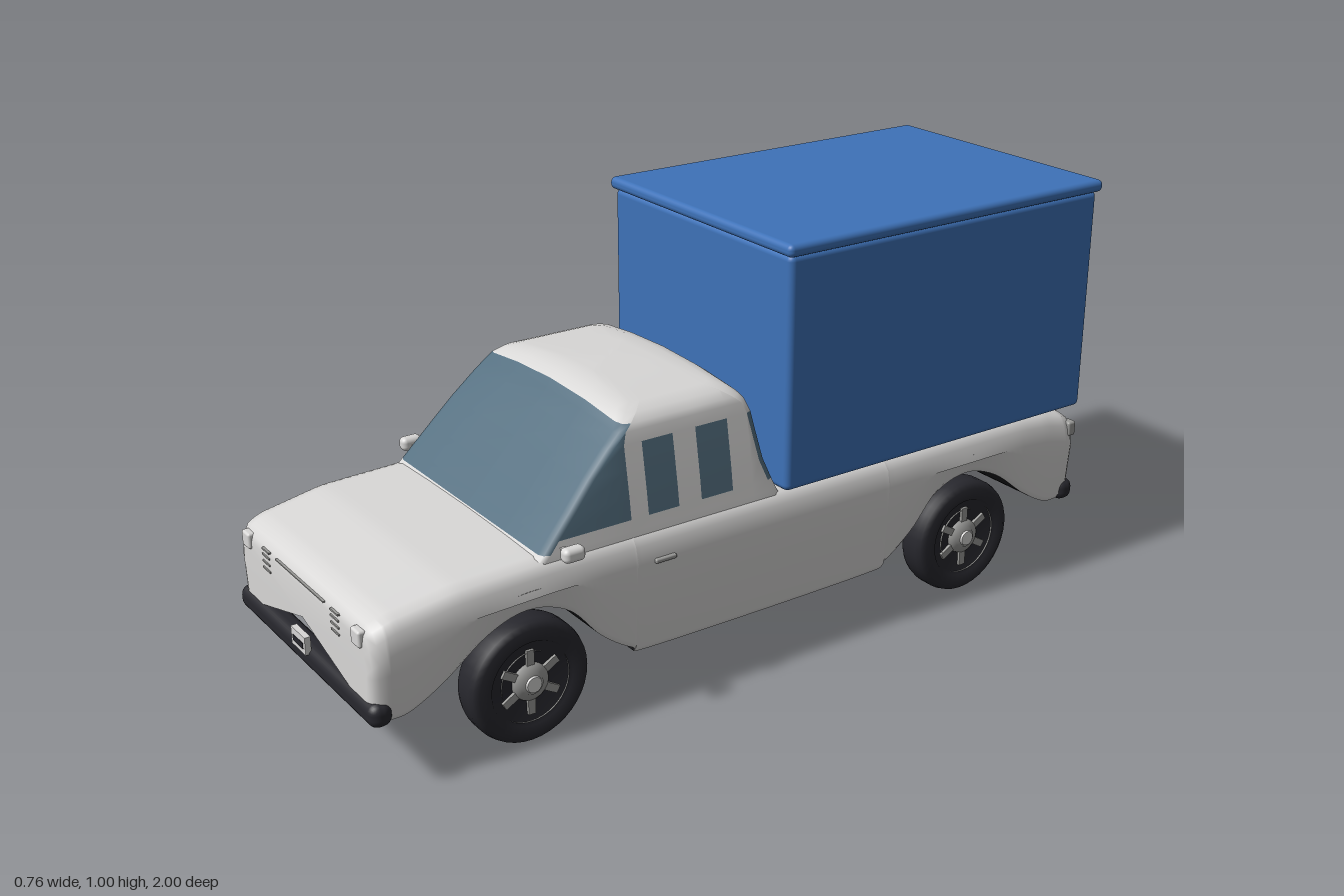
import * as THREE from 'three';
import { RoundedBoxGeometry } from 'three/addons/geometries/RoundedBoxGeometry.js';

const mat = (name, color) => {
  const m = new THREE.MeshStandardMaterial({ color });
  m.name = name;
  return m;
};

// Skin a grid of points; pick(i, j) gives the material index of each cell
function skin(rows, closed, pick = () => 0) {
  const n = rows[0].length, buckets = [[], []];
  for (let i = 0; i < rows.length - 1; i++) {
    for (let j = 0; j < (closed ? n : n - 1); j++) {
      const k = (j + 1) % n, a = i * n + j, b = i * n + k, c = b + n, d = a + n;
      buckets[pick(i, j)].push(a, b, c, a, c, d);
    }
  }
  const g = new THREE.BufferGeometry();
  g.setAttribute('position', new THREE.Float32BufferAttribute(rows.flat(2), 3));
  g.setIndex(buckets.flat());
  g.addGroup(0, buckets[0].length, 0);
  if (buckets[1].length) g.addGroup(buckets[0].length, buckets[1].length, 1);
  g.computeVertexNormals();
  return g;
}

// Linear lookup in a list of [position, value]
function lookup(table, z) {
  for (let i = 1; i < table.length; i++) {
    const [z0, v0] = table[i - 1], [z1, v1] = table[i];
    if (z <= z1) return THREE.MathUtils.lerp(v0, v1, THREE.MathUtils.clamp((z - z0) / (z1 - z0), 0, 1));
  }
  return table[table.length - 1][1];
}

export function createModel() {
  const paint = mat('white paint', 0xd8d7d6);
  const blue = mat('blue box', 0x3e72b8);
  const glass = mat('window glass', 0x546f80);
  const black = mat('black rubber', 0x27272d);
  const under = mat('underside', 0x1b1b1e);
  const chrome = mat('grey metal', 0x9b9b99);
  const truck = new THREE.Group();
  const add = (name, geometry, material, x = 0, y = 0, z = 0, parent = truck) => {
    const m = new THREE.Mesh(geometry, material);
    m.name = name;
    m.position.set(x, y, z);
    parent.add(m);
    return m;
  };
  const box = (w, h, d) => new THREE.BoxGeometry(w, h, d);
  const round = (w, h, d, r) => new RoundedBoxGeometry(w, h, d, 3, r);

  // Lower body: sections along z, the lower edge sweeping over both axles
  const half = [[0.29, 0.13], [0.36, 0.145], [0.44, 0.2], [0.52, 0.285], [0.62, 0.316],
    [0.72, 0.285], [0.82, 0.21], [0.9, 0.165], [0.95, 0.16]];
  const edge = [...half.map(([z, y]) => [-z, y]).reverse(), ...half];
  const lower = new THREE.SplineCurve(edge.map(p => new THREE.Vector2(...p))).getPoints(90);
  const topLine = [[-0.98, 0.382], [-0.94, 0.395], [-0.88, 0.41], [-0.78, 0.42], [0.57, 0.42],
    [0.785, 0.413], [0.93, 0.388], [0.985, 0.368]];
  const widthLine = [[-0.98, 0.338], [-0.8, 0.345], [0.75, 0.345], [0.95, 0.337], [0.985, 0.332]];
  const ends = [[0.968, 0.002], [0.98, 0.01], [0.985, 0.025]];
  const stations = [
    ...ends.map(([z, e]) => [-z, 0.16, e]).reverse(),
    ...lower.map(p => [p.x, p.y, 0]),
    ...ends.map(([z, e]) => [z, 0.16, e]),
  ];
  const section = ([z, b0, e]) => {
    const t = lookup(topLine, z) - e, w = lookup(widthLine, z) - e, b = b0 + e;
    const side = [[w - 0.02, b], [w - 0.01, b + 0.015], [w - 0.003, (t + b) / 2], [w, t - 0.07],
      [w - 0.007, t - 0.03], [w - 0.022, t - 0.007], [w - 0.05, t], [w * 0.5, t + 0.002]];
    return [...side.map(([x, y]) => [x, y, z]), [0, t + 0.003, z],
      ...side.reverse().map(([x, y]) => [-x, y, z])];
  };
  const rows = stations.map(section);
  const capRow = z => rows[0].map(() => [0, 0.27, z]);
  add('body', skin([capRow(-0.985), ...rows, capRow(0.985)], false), paint);
  add('underside', skin(rows.map(r => [r[r.length - 1], r[0]]), false), under);

  // Cab: rings going up, [y, half width, front z, back z, corner radius, roof crown]
  const levels = [
    [0.41, 0.326, 0.595, -0.05, 0.02, 0], [0.425, 0.324, 0.58, -0.043, 0.02, 0],
    [0.45, 0.32, 0.557, -0.032, 0.02, 0], [0.5, 0.313, 0.51, -0.012, 0.02, 0],
    [0.56, 0.303, 0.454, 0, 0.02, 0], [0.62, 0.294, 0.398, 0.01, 0.02, 0.006],
    [0.655, 0.289, 0.367, 0.022, 0.02, 0.014], [0.675, 0.283, 0.355, 0.035, 0.025, 0.02],
    [0.688, 0.266, 0.335, 0.053, 0.03, 0.02], [0.695, 0.235, 0.305, 0.08, 0.03, 0.02],
    [0.697, 0.1, 0.28, 0.12, 0.03, 0.02], [0.697, 0, 0.2, 0.2, 0, 0]];
  const ring = ([y, w, zf, zb, r, crown]) => {
    const posts = [0.355, 0.31, 0.23, 0.17, 0.085, 0.03].map(z => [w, Math.max(zb + r, Math.min(zf - r, z))]);
    const h = [[0, zf], [w / 2, zf], [w - r, zf], [w - 0.3 * r, zf - 0.3 * r], [w, zf - r], ...posts,
      [w, zb + r], [w - 0.3 * r, zb + 0.3 * r], [w - r, zb], [w / 2, zb], [0, zb]];
    const mirror = h.slice(1, -1).reverse().map(([x, z]) => [-x, z]);
    return [...h, ...mirror].map(([x, z]) => [x, y - crown * (x / 0.28) ** 2, z]);
  };
  const cabGlass = (i, j) => {
    const s = j < 15 ? j : 29 - j;
    if (s < 4) return i >= 1 && i <= 6 ? 1 : 0; // windscreen
    if (s === 4) return i >= 2 && i <= 6 ? 1 : 0; // wrapped sides
    return (s === 6 || s === 8 || s >= 11) && i >= 2 && i <= 4 ? 1 : 0; // side and rear windows
  };
  add('cab', skin(levels.map(ring), true, cabGlass), [paint, glass]);

  // Cargo box with overhanging lid
  add('cargoBox', round(0.69, 0.555, 0.935, 0.015), blue, 0, 0.695, -0.5125);
  add('cargoLid', round(0.71, 0.03, 0.955, 0.013), blue, 0, 0.985, -0.5125);

  // Bumpers and number plates
  for (const s of [1, -1]) {
    add('bumper', round(0.675, 0.055, 0.052, 0.022), black, 0, 0.182, s * 0.968);
    const y = s > 0 ? 0.217 : 0.24;
    add('plateFrame', box(0.07, 0.042, 0.014), paint, 0, y, s * 0.992);
    add('plateInset', box(0.05, 0.014, 0.004), black, 0, y - 0.002, s * 0.9985);
  }

  // Grille strips
  add('grilleLine', box(0.24, 0.003, 0.006), chrome, 0, 0.357, 0.984);
  for (const s of [1, -1]) {
    for (const y of [0.357, 0.343, 0.327, 0.311]) {
      add('grilleSlat', box(0.037, 0.004, 0.006), chrome, s * 0.172, y, 0.985);
    }
    // Lamps, mirrors and door handles
    add('headlight', round(0.038, 0.038, 0.02, 0.006), paint, s * 0.274, 0.345, 0.982);
    add('tailLight', round(0.03, 0.038, 0.025, 0.006), chrome, s * 0.322, 0.352, -0.97);
    add('mirror', round(0.031, 0.033, 0.052, 0.012), paint, s * 0.363, 0.437, 0.53);
    add('mirrorStalk', box(0.05, 0.008, 0.012), paint, s * 0.335, 0.432, 0.53);
    add('doorHandle', round(0.012, 0.011, 0.055, 0.004), chrome, s * 0.346, 0.35, 0.285);
  }

  // Wheels: lathe profiles turned so the axle points outward
  const lathe = pts => new THREE.LatheGeometry(pts.map(p => new THREE.Vector2(...p)), 40);
  const tyre = lathe([[0, -0.03], [0.092, -0.03], [0.1, -0.04], [0.128, -0.04], [0.141, -0.032], [0.145, -0.018],
    [0.145, 0.018], [0.141, 0.032], [0.128, 0.04], [0.1, 0.04], [0.092, 0.028], [0, 0.024]]);
  const rim = lathe([[0.07, 0.025], [0.073, 0.034], [0.083, 0.037], [0.093, 0.036], [0.095, 0.026]]);
  const hub = lathe([[0.045, 0.02], [0.042, 0.034], [0.028, 0.036], [0.024, 0.043], [0, 0.044]]);
  for (const s of [1, -1]) {
    for (const z of [0.62, -0.62]) {
      const wheel = new THREE.Group();
      wheel.name = 'wheel';
      wheel.position.set(s * 0.296, 0.145, z);
      wheel.rotation.z = -s * Math.PI / 2;
      truck.add(wheel);
      add('tyre', tyre, black, 0, 0, 0, wheel);
      add('rim', rim, chrome, 0, 0, 0, wheel);
      add('hub', hub, chrome, 0, 0, 0, wheel);
      add('hubCap', new THREE.CylinderGeometry(0.018, 0.02, 0.006, 24), paint, 0, 0.045, 0, wheel);
      for (let i = 0; i < 6; i++) {
        const a = i * Math.PI / 3;
        add('spoke', box(0.04, 0.012, 0.018), chrome, Math.cos(a) * 0.057, 0.028, Math.sin(a) * 0.057, wheel).rotation.y = -a;
      }
    }
    // Axles
    const axle = add('axle', new THREE.CylinderGeometry(0.02, 0.02, 0.54, 12), under, 0, 0.145, s * 0.62);
    axle.rotation.z = Math.PI / 2;
  }
  return truck;
}
